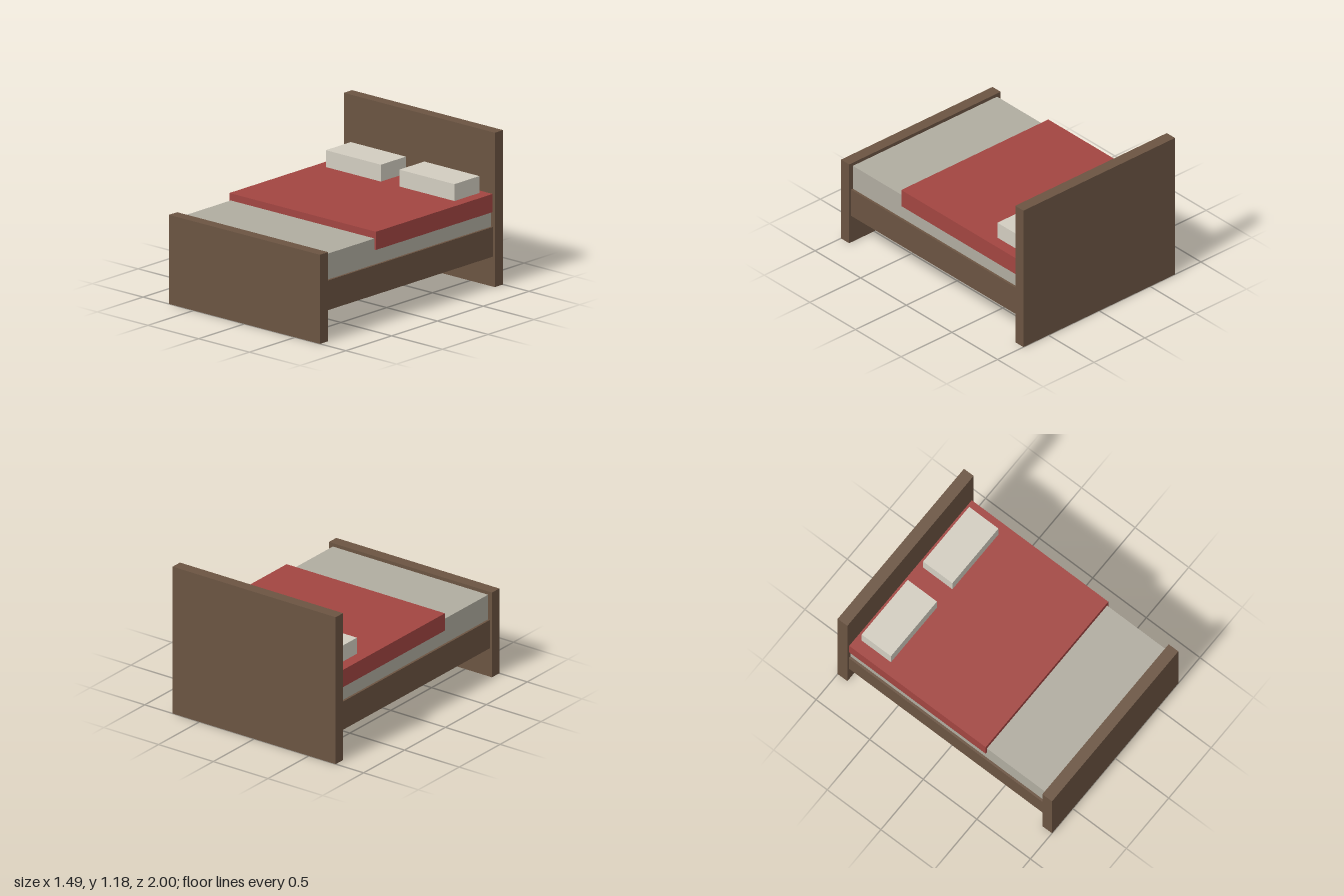
import * as THREE from 'three';

export function createModel() {
  const bed = new THREE.Group();
  bed.name = 'bed';

  const wood = new THREE.MeshStandardMaterial({ color: 0x6b5442 });
  const sheet = new THREE.MeshStandardMaterial({ color: 0xb0aca0 });
  const red = new THREE.MeshStandardMaterial({ color: 0xa24541 });
  const linen = new THREE.MeshStandardMaterial({ color: 0xd2cdc0 });

  // Box given by its extents along each axis
  function addBox(name, material, [x0, x1], [y0, y1], [z0, z1]) {
    const mesh = new THREE.Mesh(new THREE.BoxGeometry(x1 - x0, y1 - y0, z1 - z0), material);
    mesh.position.set((x0 + x1) / 2, (y0 + y1) / 2, (z0 + z1) / 2);
    mesh.name = name;
    bed.add(mesh);
  }

  // Wooden bedstead
  addBox('headboard', wood, [-0.745, 0.745], [0, 1.182], [-1, -0.91]);
  addBox('footboard', wood, [-0.745, 0.745], [0, 0.682], [0.91, 1]);
  addBox('bedBase', wood, [-0.727, 0.727], [0.23, 0.457], [-0.91, 0.91]);

  // Bedding
  addBox('mattress', sheet, [-0.709, 0.709], [0.457, 0.655], [-0.91, 0.91]);
  addBox('blanket', red, [-0.723, 0.723], [0.57, 0.709], [-0.91, 0.364]);

  // Pair of pillows
  addBox('leftPillow', linen, [0.091, 0.634], [0.709, 0.838], [-0.864, -0.591]);
  addBox('rightPillow', linen, [-0.634, -0.091], [0.709, 0.838], [-0.864, -0.591]);

  return bed;
}
